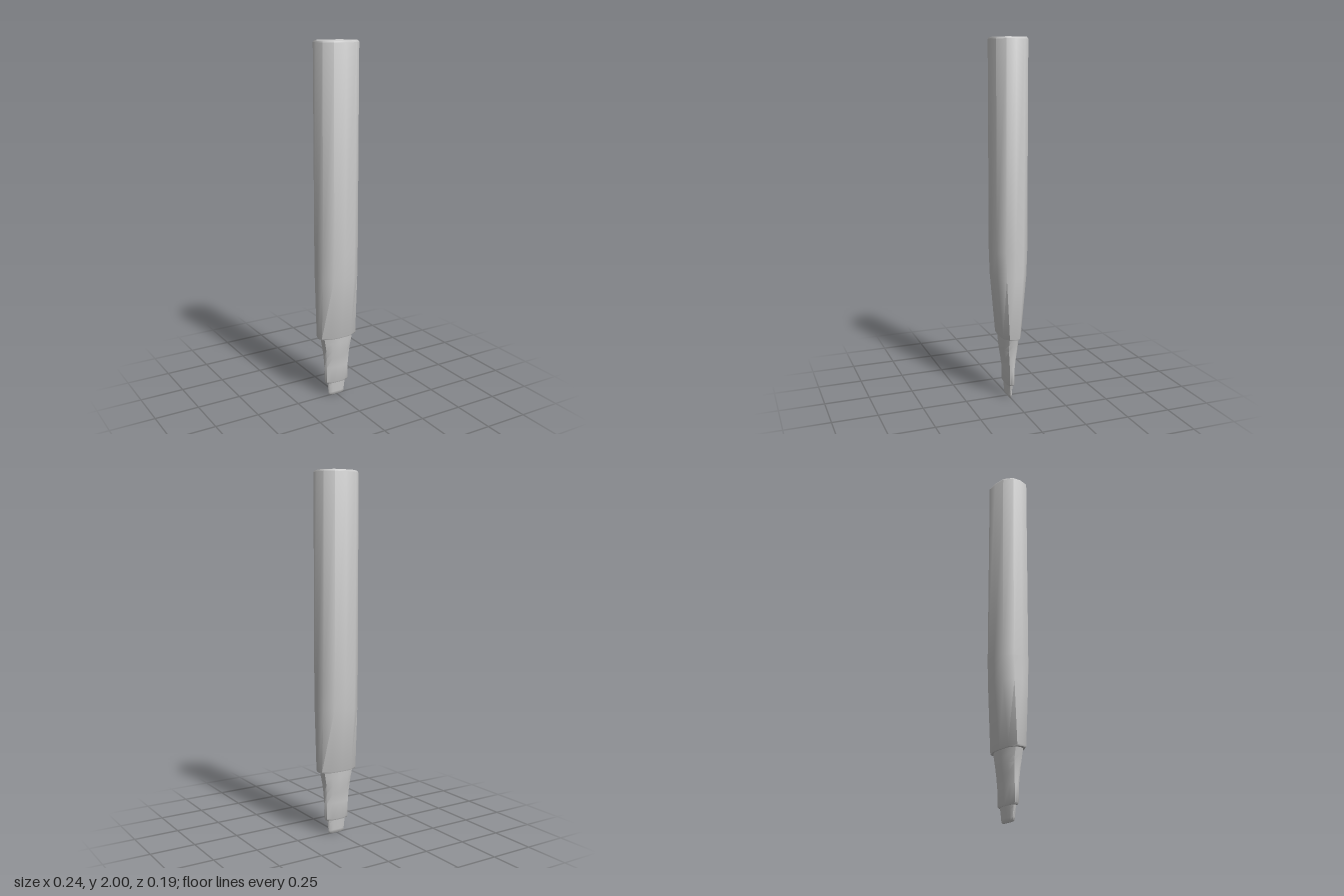
import * as THREE from 'three';
import { toCreasedNormals } from 'three/addons/utils/BufferGeometryUtils.js';

// One quadrant of the twelve-sided, slightly squared oval (unit size)
const QUADRANT = [[1, 0], [0.92, 0.51], [0.54, 0.92]];
const OVAL = [
  ...QUADRANT,
  [0, 1], [-0.54, 0.92], [-0.92, 0.51],
  ...QUADRANT.map(([x, z]) => [-x, -z]),
  [0, -1], [0.54, -0.92], [0.92, -0.51],
];

// Closed loft through oval rings given bottom to top as [y, half width, half depth]
function loft(name, rings, material) {
  const n = OVAL.length, last = rings.length - 1;
  const positions = [], index = [];
  for (const [y, rx, rz] of rings) {
    for (const [x, z] of OVAL) positions.push(x * rx, y, z * rz);
  }
  const bottom = rings.length * n, top = bottom + 1;
  positions.push(0, rings[0][0], 0, 0, rings[last][0], 0);
  for (let i = 0; i < n; i++) {
    const j = (i + 1) % n;
    for (let r = 0; r < last; r++) {
      const a = r * n + i, b = r * n + j;
      index.push(a, a + n, b, b, a + n, b + n);
    }
    index.push(bottom, i, j, top, last * n + j, last * n + i);
  }
  const geometry = new THREE.BufferGeometry();
  geometry.setAttribute('position', new THREE.Float32BufferAttribute(positions, 3));
  geometry.setIndex(index);
  const mesh = new THREE.Mesh(toCreasedNormals(geometry, 0.75), material);
  mesh.name = name;
  return mesh;
}

export function createModel() {
  const group = new THREE.Group();
  group.name = 'highlighterPen';
  const grey = new THREE.MeshStandardMaterial({ color: 0xcccccc });

  // Barrel: constant width, thinning in depth toward the grip
  group.add(loft('barrel', [
    [0.365, 0.117, 0.055], [0.372, 0.12, 0.058], [0.72, 0.12, 0.092], [0.86, 0.12, 0.097],
    [1.99, 0.12, 0.097], [2, 0.113, 0.091],
  ], grey));

  // Grip: flared collar narrowing to the nib holder
  group.add(loft('grip', [
    [0.08, 0.068, 0.021], [0.088, 0.074, 0.025], [0.18, 0.076, 0.027], [0.24, 0.079, 0.036],
    [0.29, 0.084, 0.044], [0.33, 0.092, 0.047], [0.38, 0.102, 0.05],
  ], grey));

  // Flat chisel nib with a rounded tip
  group.add(loft('nib', [
    [0, 0.043, 0.005], [0.006, 0.049, 0.01], [0.02, 0.051, 0.012],
    [0.06, 0.055, 0.015], [0.075, 0.058, 0.017], [0.09, 0.06, 0.018],
  ], grey));

  return group;
}
